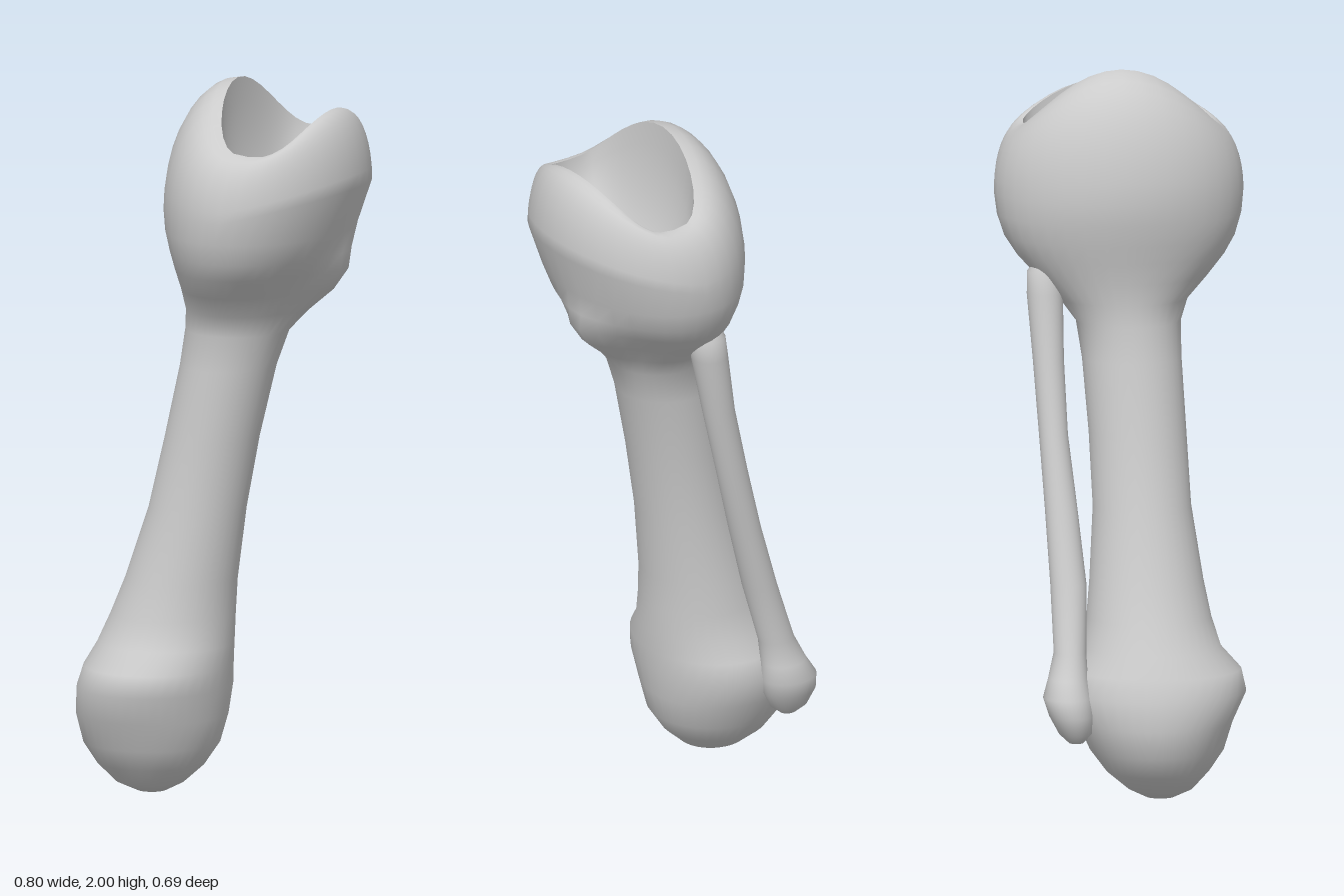
import * as THREE from 'three';

const SEG = 36;
const angles = Array.from({ length: SEG }, (_, i) => (i / SEG) * Math.PI * 2);

// Smooth skin over closed rings; single-point rings close the ends.
function loft(rings, name, material) {
  const pos = [], idx = [];
  rings.forEach((ring) => ring.forEach((p) => pos.push(...p)));
  for (let r = 0; r < rings.length - 1; r++) {
    for (let i = 0; i < SEG; i++) {
      const j = (i + 1) % SEG;
      const a = r * SEG + i, b = r * SEG + j;
      idx.push(a, a + SEG, b, b, a + SEG, b + SEG);
    }
  }
  // fan caps from the ring centres
  const cap = (ring, base, up) => {
    const c = [0, 1, 2].map((k) => ring.reduce((s, p) => s + p[k], 0) / SEG);
    const n = pos.length / 3;
    pos.push(...c);
    for (let i = 0; i < SEG; i++) {
      const a = base + i, b = base + ((i + 1) % SEG);
      if (up) idx.push(n, b, a); else idx.push(n, a, b);
    }
  };
  return {
    cap,
    finish() {
      const g = new THREE.BufferGeometry();
      g.setAttribute('position', new THREE.Float32BufferAttribute(pos, 3));
      g.setIndex(idx);
      g.computeVertexNormals();
      const mesh = new THREE.Mesh(g, material);
      mesh.name = name;
      return mesh;
    },
  };
}

// Elliptical ring from its extents, with an optional ridge on the +x side.
function ring([y, x0, x1, z0, z1, ridge = 0]) {
  return angles.map((t) => {
    const d = Math.atan2(Math.sin(t + 0.12), Math.cos(t + 0.12));
    return [
      (x0 + x1) / 2 + ((x1 - x0) / 2) * Math.cos(t) + ridge * Math.exp(-((d / 0.35) ** 2)),
      y,
      (z0 + z1) / 2 + ((z1 - z0) / 2) * Math.sin(t),
    ];
  });
}

// Saddle-shaped rim of the socket: high on both sides, low at front and back.
function rimPoint(t) {
  const c = Math.cos(t), k = Math.abs(c);
  return [
    0.17 + 0.14 * Math.sign(c) * k ** 0.65,
    1.83 + (c < 0 ? 0.17 : 0.1) * k * k,
    0.26 * Math.sin(t),
  ];
}

export function createModel() {
  const group = new THREE.Group();
  group.name = 'forearmBones';
  const mat = new THREE.MeshStandardMaterial({ color: 0xcccccc, side: THREE.DoubleSide });

  // Main bone: rounded foot, leaning shaft, flared head (y, x range, z range, ridge)
  const sections = [
    [0.005, -0.23, -0.15, 0.05, 0.13],
    [0.03, -0.29, -0.10, 0.0, 0.18],
    [0.08, -0.345, -0.045, -0.06, 0.225],
    [0.14, -0.385, -0.005, -0.105, 0.265],
    [0.22, -0.405, 0.015, -0.14, 0.29],
    [0.30, -0.395, 0.025, -0.17, 0.328],
    [0.36, -0.375, 0.03, -0.15, 0.315],
    [0.42, -0.345, 0.033, -0.12, 0.26],
    [0.50, -0.31, 0.035, -0.11, 0.235],
    [0.60, -0.27, 0.04, -0.10, 0.215],
    [0.80, -0.205, 0.065, -0.087, 0.185],
    [1.00, -0.16, 0.10, -0.095, 0.175],
    [1.20, -0.12, 0.145, -0.11, 0.165],
    [1.30, -0.107, 0.18, -0.125, 0.165],
    [1.36, -0.106, 0.205, -0.17, 0.185, 0.03],
    [1.42, -0.112, 0.24, -0.23, 0.24, 0.065],
    [1.48, -0.125, 0.285, -0.285, 0.29, 0.06],
    [1.53, -0.137, 0.325, -0.318, 0.32, 0.02],
    [1.59, -0.15, 0.35, -0.338, 0.338],
  ];
  const rings = sections.map(ring);

  // Head closes over from its widest line to the rim
  const widest = ring([1.65, -0.157, 0.395, -0.345, 0.345]);
  const steps = 9;
  for (let s = 0; s <= steps; s++) {
    const a = (s / steps) * Math.PI / 2;
    rings.push(widest.map((p, i) => {
      const t = angles[i], r = rimPoint(t);
      const y0 = p[1] + 0.07 * Math.max(0, Math.cos(t));
      return [
        r[0] + (p[0] - r[0]) * Math.cos(a),
        y0 + (r[1] - y0) * Math.sin(a),
        r[2] + (p[2] - r[2]) * Math.cos(a),
      ];
    }));
  }
  const bone = loft(rings, 'mainBone', mat);
  bone.cap(rings[0], 0, false);
  group.add(bone.finish());

  // Hollow socket inside the rim
  const bowl = [];
  for (let s = 0; s <= 8; s++) {
    const a = (s / 8) * 1.45, c = Math.cos(a), k = Math.sin(a);
    bowl.push(angles.map((t) => {
      const r = rimPoint(t);
      return [0.18 + (r[0] - 0.18) * c, r[1] + (1.62 - r[1]) * k, r[2] * c];
    }));
  }
  const socket = loft(bowl, 'socket', mat);
  socket.cap(bowl[8], 8 * SEG, false);
  group.add(socket.finish());

  // Thin bone behind the shaft: y, centre x, centre z, half widths
  const thin = [
    [0.175, -0.285, -0.15, 0.025, 0.02],
    [0.20, -0.285, -0.152, 0.055, 0.045],
    [0.25, -0.28, -0.162, 0.078, 0.062],
    [0.30, -0.27, -0.172, 0.082, 0.068],
    [0.35, -0.255, -0.17, 0.066, 0.055],
    [0.42, -0.235, -0.163, 0.052, 0.045],
    [0.60, -0.18, -0.163, 0.048, 0.05],
    [0.80, -0.12, -0.178, 0.045, 0.045],
    [1.00, -0.065, -0.195, 0.045, 0.04],
    [1.20, -0.015, -0.205, 0.046, 0.043],
    [1.38, 0.02, -0.212, 0.052, 0.05],
    [1.44, 0.03, -0.21, 0.055, 0.05],
    [1.48, 0.035, -0.2, 0.035, 0.03],
  ].map(([y, x, z, a, b]) => ring([y, x - a, x + a, z - b, z + b]));
  const slim = loft(thin, 'thinBone', mat);
  slim.cap(thin[0], 0, false);
  slim.cap(thin[thin.length - 1], (thin.length - 1) * SEG, true);
  group.add(slim.finish());

  return group;
}
